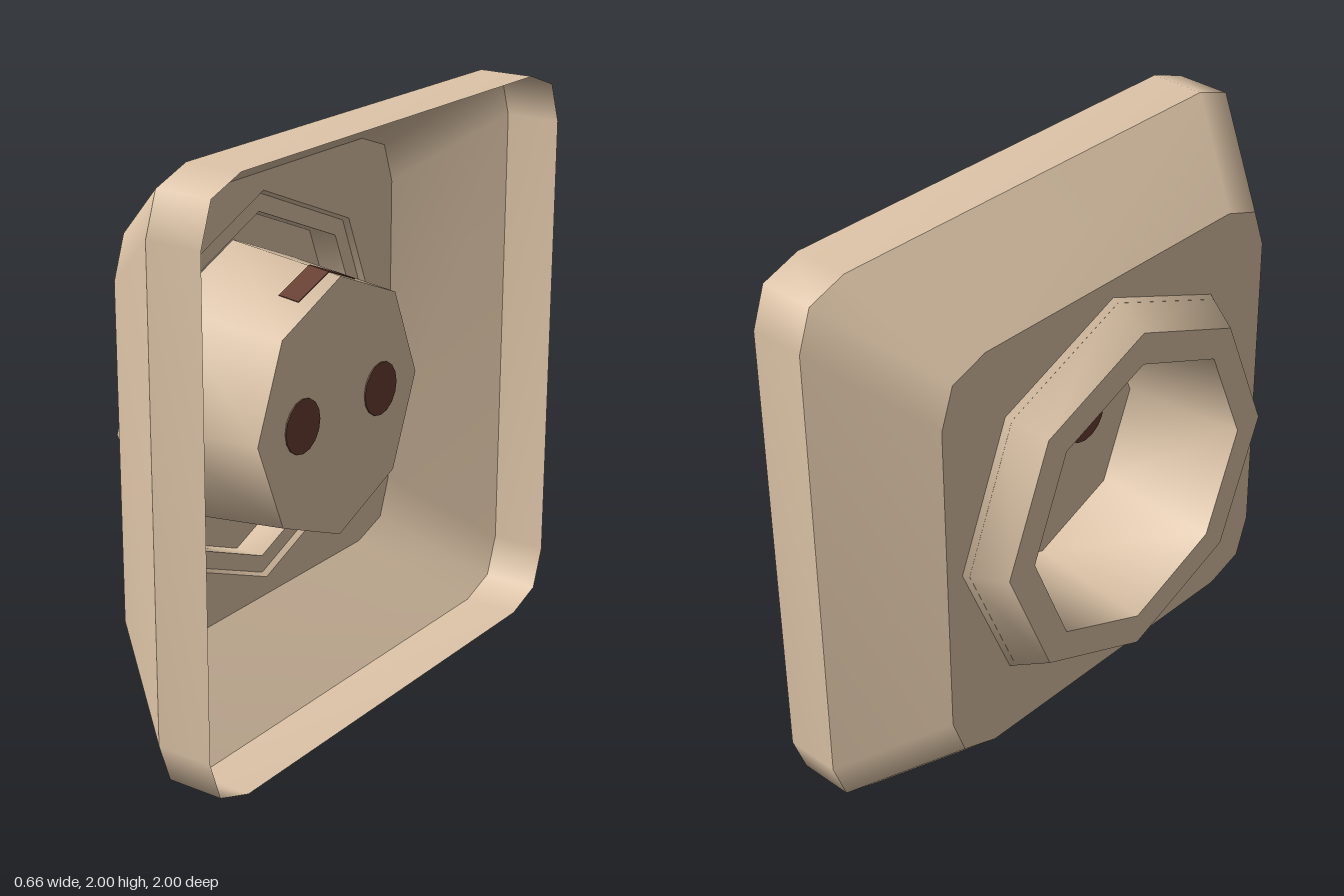
import * as THREE from 'three';

// Loops are lists of [z, y] points about the socket axis, wound from +z towards +y.
const AXIS_Y = 1;

const octagon = (r) => Array.from({ length: 8 }, (_, i) => {
  const a = (i * Math.PI) / 4;
  return [r * Math.cos(a), r * Math.sin(a)];
});

// Square with two-facet rounded corners, inset evenly by d
function roundedSquare(d) {
  const a = 1 - d, m = 0.95 - d, s = 0.81 - d;
  const side = [[a, -s], [a, s], [m, m]];
  return [0, 1, 2, 3].flatMap((q) => side.map(([z, y]) => {
    for (let i = 0; i < q; i++) [z, y] = [-y, z];
    return [z, y];
  }));
}

// Smooth band joining loop A at x = xa to loop B at x = xb
function band(loopA, xa, loopB, xb) {
  const n = loopA.length, pos = [], index = [];
  for (const [z, y] of loopA) pos.push(xa, y, z);
  for (const [z, y] of loopB) pos.push(xb, y, z);
  for (let i = 0; i < n; i++) {
    const j = (i + 1) % n;
    index.push(i, n + i, j, j, n + i, n + j);
  }
  const g = new THREE.BufferGeometry();
  g.setAttribute('position', new THREE.Float32BufferAttribute(pos, 3));
  g.setIndex(index);
  g.computeVertexNormals();
  return g;
}

// Flat panel across the axis at the given x, facing -x, with an optional opening
function panel(loop, x, opening) {
  const toPoints = (l) => l.map(([z, y]) => new THREE.Vector2(z, y));
  const shape = new THREE.Shape(toPoints(loop));
  if (opening) shape.holes.push(new THREE.Path(toPoints(opening)));
  return new THREE.ShapeGeometry(shape).rotateY(-Math.PI / 2).translate(x, 0, 0);
}

export function createModel() {
  const group = new THREE.Group();
  group.name = 'wallSocket';

  const cream = new THREE.MeshStandardMaterial({ color: 0xdec5a8, side: THREE.DoubleSide });
  cream.name = 'cream plastic';
  const brown = new THREE.MeshStandardMaterial({ color: 0x683f31, side: THREE.DoubleSide });
  brown.name = 'brown contact';

  const add = (name, geometry, material = cream) => {
    const mesh = new THREE.Mesh(geometry, material);
    mesh.name = name;
    mesh.position.y = AXIS_Y;
    group.add(mesh);
    return mesh;
  };

  const RIM = 0.33, SHOULDER = 0.13, FACE = -0.2, LIP = -0.33, CUP = 0.11;
  const outer = roundedSquare(0), inner = roundedSquare(0.24);

  // Open-backed cover
  add('coverRim', band(outer, SHOULDER, outer, RIM));
  add('coverSlope', band(inner, FACE, outer, SHOULDER));
  add('coverFace', panel(inner, FACE, octagon(0.695)));

  // Raised octagonal collar with an inner ledge
  add('collarSlope', band(octagon(0.62), LIP, octagon(0.695), FACE));
  add('collarLip', panel(octagon(0.62), LIP, octagon(0.505)));
  add('collarLedge', panel(octagon(0.684), -0.22, octagon(0.62)));
  add('collarInnerWall', band(octagon(0.62), LIP, octagon(0.62), -0.22));

  // Recessed plug cup
  add('cupWall', band(octagon(0.505), LIP, octagon(0.455), CUP));
  add('cupFloor', panel(octagon(0.455), CUP));

  // Pin holes, showing on both sides of the cup floor
  for (const z of [0.215, -0.235]) {
    const hole = new THREE.CylinderGeometry(0.095, 0.095, 0.009, 16).rotateZ(Math.PI / 2);
    add('pinHole', hole.translate(CUP, 0, z), brown);
  }

  // Earth contact wrapped over the top edge of the cup
  const slope = Math.tan(Math.PI / 8);
  for (const side of [1, -1]) {
    const plate = new THREE.BoxGeometry(0.08, 0.006, 0.17);
    plate.rotateX(side * Math.PI / 8);
    plate.rotateZ(-0.113);
    plate.translate(0.02, 0.466 - 0.08 * slope, side * 0.08);
    add('earthContact', plate, brown);
  }

  return group;
}
